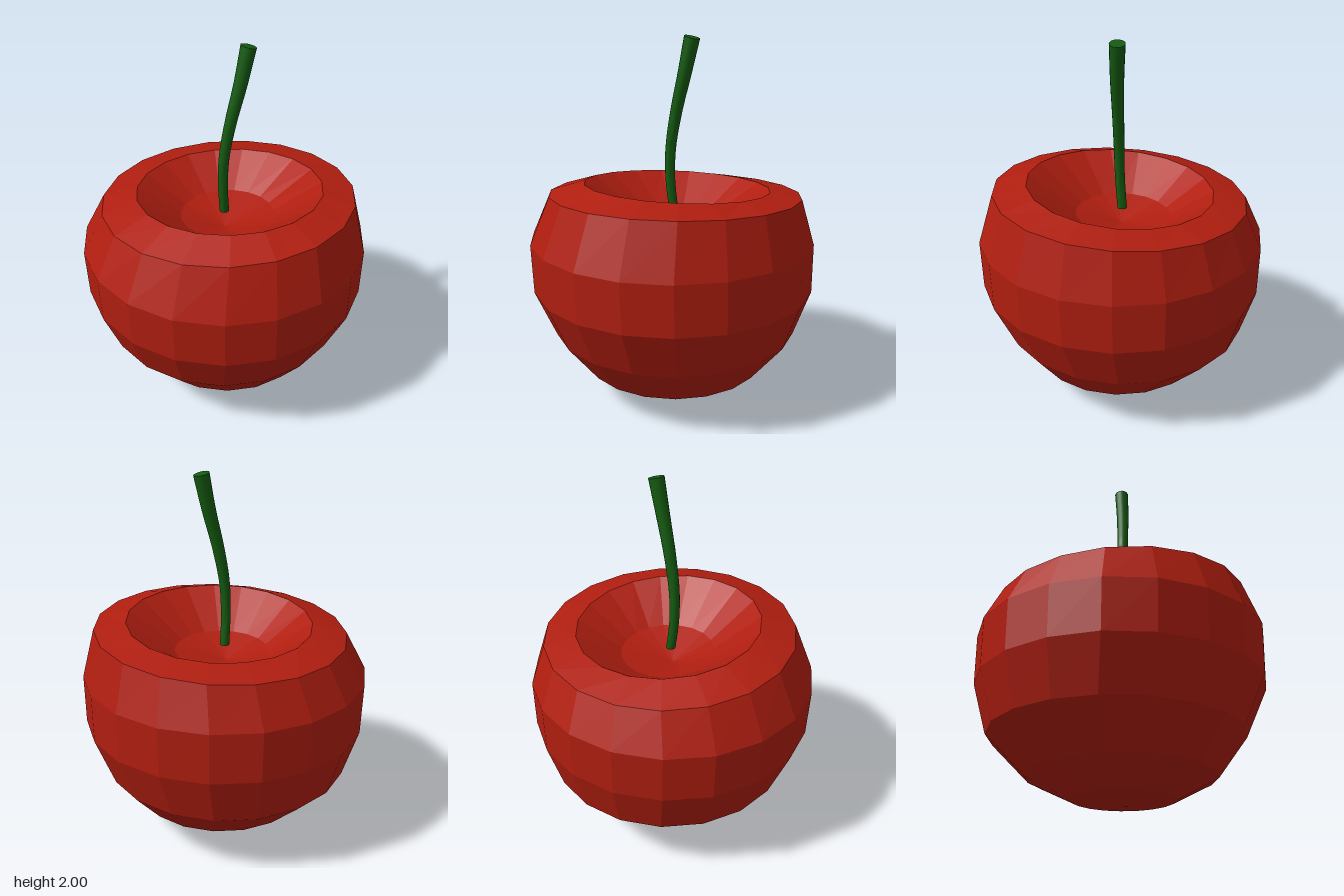
import * as THREE from 'three';
import { toCreasedNormals } from 'three/addons/utils/BufferGeometryUtils.js';

// Skin through horizontal rings, listed along the surface.
// Ring: [radius, y, centre x, centre z, tilt along x, tilt along z]; radius 0 closes the form.
function loft(rings, sides, phase = 0) {
  const pos = [], idx = [];
  for (const [r, y, cx = 0, cz = 0, tx = 0, tz = 0] of rings) {
    for (let i = 0; i < sides; i++) {
      const a = phase + (i / sides) * Math.PI * 2;
      const s = Math.sin(a), c = Math.cos(a);
      pos.push(cx + r * s, y + tx * s + tz * c, cz + r * c);
    }
  }
  for (let j = 0; j < rings.length - 1; j++) {
    for (let i = 0; i < sides; i++) {
      const n = (i + 1) % sides;
      const a = j * sides + i, b = j * sides + n;
      const c = a + sides, d = b + sides;
      if (rings[j][0] > 0) idx.push(a, b, d);
      if (rings[j + 1][0] > 0) idx.push(a, d, c);
    }
  }
  const g = new THREE.BufferGeometry();
  g.setAttribute('position', new THREE.Float32BufferAttribute(pos, 3));
  g.setIndex(idx);
  g.computeVertexNormals();
  return g;
}

export function createModel() {
  const group = new THREE.Group();
  group.name = 'cherry';

  // Faceted fruit: from the bottom tip, over the lip and down into the hollow
  const fruitRings = [
    [0, 0.005, -0.08, -0.02],
    [0.268, 0.045, -0.04, -0.01],
    [0.5, 0.17, 0.015, 0.01],
    [0.68, 0.375, 0.015, -0.02],
    [0.778, 0.64, 0.005, 0],
    [0.783, 0.91, 0, 0],
    [0.69, 1.155, 0.02, 0.012, -0.005, 0.04],
    [0.508, 1.2, 0.03, 0.015, -0.02, 0.035],
    [0.26, 1.03, 0.03, 0, -0.005, 0.01],
    [0, 0.96, 0, 0],
  ];
  const fruit = new THREE.Mesh(
    loft(fruitRings, 19, THREE.MathUtils.degToRad(177)),
    new THREE.MeshStandardMaterial({ color: 0xb01e10, flatShading: true })
  );
  fruit.name = 'fruit';
  group.add(fruit);

  // Curved stem, slightly thicker towards its cut end
  const path = new THREE.CatmullRomCurve3([
    new THREE.Vector3(0.01, 1.055, -0.005),
    new THREE.Vector3(-0.008, 1.22, 0),
    new THREE.Vector3(-0.006, 1.4, 0.006),
    new THREE.Vector3(0.025, 1.6, 0.025),
    new THREE.Vector3(0.07, 1.8, 0.05),
    new THREE.Vector3(0.11, 1.99, 0.066),
  ]);
  const stemRings = [];
  const steps = 16;
  for (let i = 0; i <= steps; i++) {
    const t = i / steps, p = path.getPoint(t);
    const tilt = 0.009 * t; // the cut end leans with the stem
    stemRings.push([0.026 + 0.015 * t * t, p.y, p.x, p.z, -tilt, -tilt / 2]);
  }
  const foot = path.getPoint(0), end = path.getPoint(1);
  stemRings.unshift([0, foot.y, foot.x, foot.z]);
  stemRings.push([0, end.y, end.x, end.z]);
  const stem = new THREE.Mesh(
    toCreasedNormals(loft(stemRings, 16), Math.PI / 4),
    new THREE.MeshStandardMaterial({ color: 0x145a10 })
  );
  stem.name = 'stem';
  group.add(stem);

  return group;
}
